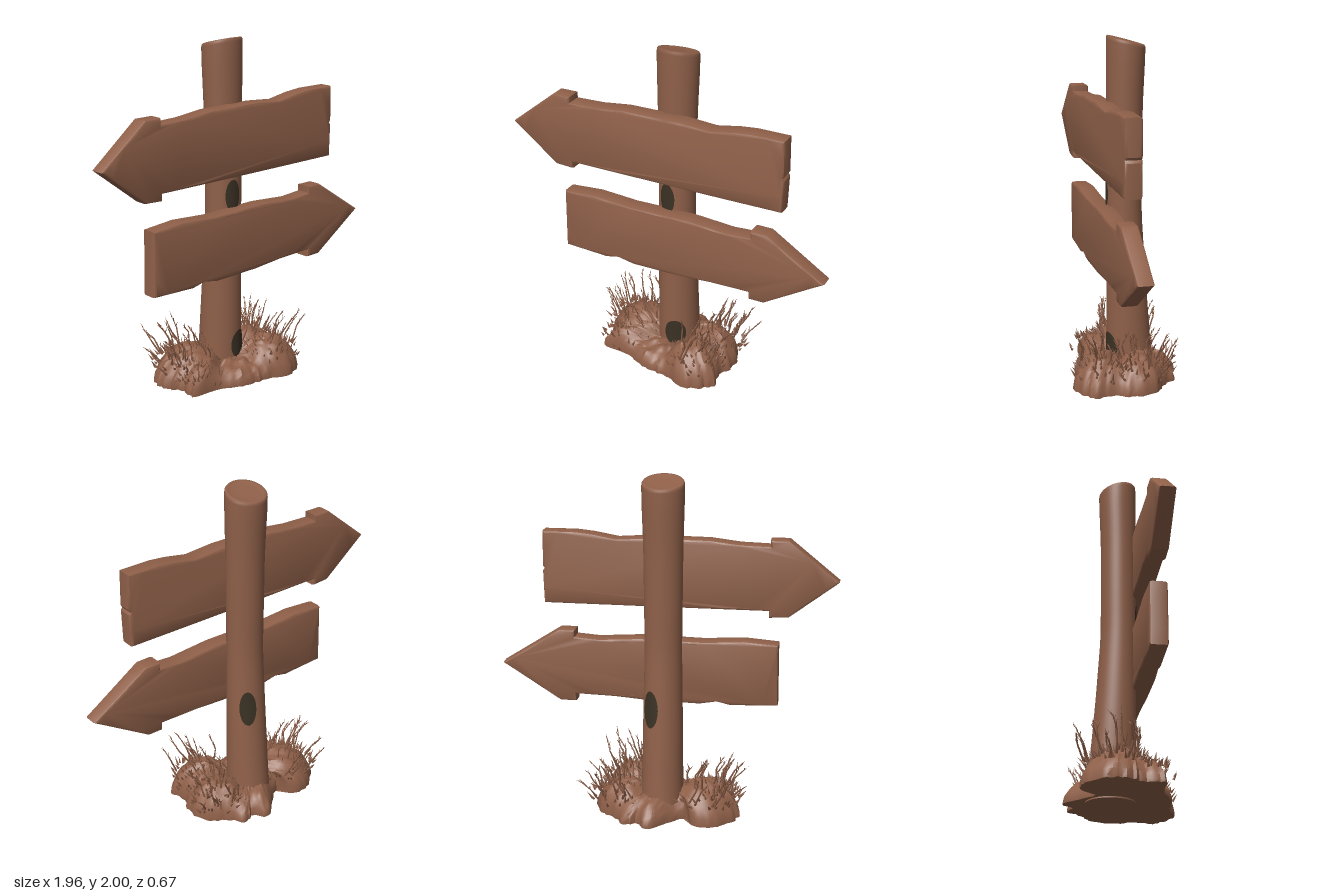
import * as THREE from 'three';
import { mergeGeometries, mergeVertices, toCreasedNormals } from 'three/addons/utils/BufferGeometryUtils.js';

const wood = new THREE.MeshStandardMaterial({ color: 0x8f6049 });
wood.name = 'brownWood';
const dark = new THREE.MeshStandardMaterial({ color: 0x3a3124 });
dark.name = 'darkKnot';

let seed = 7;
const rand = (a = 0, b = 1) => {
  seed = (seed * 16807) % 2147483647;
  return a + (b - a) * seed / 2147483647;
};

// Skin closed rings of points into one surface
function loft(rows) {
  const n = rows[0].length, index = [];
  for (let i = 0; i < rows.length - 1; i++) {
    for (let j = 0; j < n; j++) {
      const k = (j + 1) % n, a = i * n;
      index.push(a + j, a + k, a + n + k, a + j, a + n + k, a + n + j);
    }
  }
  const g = new THREE.BufferGeometry().setFromPoints(rows.flat());
  g.setIndex(index);
  g.computeVertexNormals();
  return g;
}
const ring = (n, f) => Array.from({ length: n }, (_, j) => f(j / n * Math.PI * 2));

function mesh(name, geometry, material = wood) {
  const m = new THREE.Mesh(geometry, material);
  m.name = name;
  return m;
}

// Post: height, half width in x, half depth in z
const sections = [
  [0, 0.13, 0.14], [0.2, 0.122, 0.13], [0.6, 0.115, 0.114], [1, 0.107, 0.101],
  [1.6, 0.112, 0.103], [1.9, 0.12, 0.109], [2, 0.12, 0.11],
];
function postPoint(a, y, scale = 1, lift = 0) {
  let i = 0;
  while (i < sections.length - 2 && y > sections[i + 1][0]) i++;
  const [p, q] = [sections[i], sections[i + 1]];
  const t = (y - p[0]) / (q[0] - p[0]);
  const rx = THREE.MathUtils.lerp(p[1], q[1], t), rz = THREE.MathUtils.lerp(p[2], q[2], t);
  const z = 0.06 - rz + (rz * scale + lift) * Math.cos(a);
  const slant = 0.27 * (0.06 - z) * Math.pow(y / 2, 8);
  return new THREE.Vector3((rx * scale + lift) * Math.sin(a), y - slant, z);
}
function makePost() {
  const rows = [];
  for (let i = 0; i <= 19; i++) rows.push(ring(40, a => postPoint(a, i * 0.104)));
  for (const [y, s] of [[1.992, 0.985], [2, 0.94], [2, 0.82], [1.994, 0.74], [1.994, 0.4], [1.994, 0]]) {
    rows.push(ring(40, a => postPoint(a, y, s)));
  }
  return mesh('post', loft(rows));
}

// Dark knot: an oval patch wrapped on the post
function knot(name, angle, y, w, h) {
  const rows = [1, 0.7, 0.4, 0].map(s => ring(28, t =>
    postPoint(angle + Math.cos(t) * s * w / 0.115, y + Math.sin(t) * s * h, 1, 0.004)));
  return mesh(name, loft(rows), dark);
}

// Arrow board: bevelled plank with worn edges, bowed along its length
function board(name, outline) {
  const pts = [];
  outline.forEach(([x, y], i) => {
    const [x2, y2] = outline[(i + 1) % outline.length];
    const n = Math.max(1, Math.round(Math.hypot(x2 - x, y2 - y) / 0.09));
    for (let k = 0; k < n; k++) {
      pts.push(new THREE.Vector2(x + (x2 - x) * k / n, y + (y2 - y) * k / n));
    }
  });
  const g = new THREE.ExtrudeGeometry(new THREE.Shape(pts), {
    depth: 0.075, bevelEnabled: true, bevelSize: 0.012, bevelThickness: 0.016, bevelOffset: -0.012, bevelSegments: 2,
  });
  const p = g.attributes.position;
  for (let i = 0; i < p.count; i++) {
    const x = p.getX(i);
    const thin = 1 - 0.16 * x * x;
    p.setZ(i, 0.085 + (p.getZ(i) - 0.0375) * thin - 0.014 * x);
  }
  return mesh(name, toCreasedNormals(g, 0.6));
}

// Earth mound: lumps as x, z, radius, height
const lumps = [
  [-0.27, -0.08, 0.23, 0.2], [0.22, 0.14, 0.2, 0.2], [0.25, -0.09, 0.2, 0.19],
  [0.05, -0.18, 0.22, 0.13], [-0.04, 0.12, 0.22, 0.1], [-0.3, 0.09, 0.16, 0.15],
];
function moundHeight(x, z) {
  let h = 0.035;
  for (const [cx, cz, r, top] of lumps) {
    const d = Math.hypot(x - cx, z - cz) / r;
    if (d < 1) h = Math.max(h, top * Math.sqrt(1 - d * d));
  }
  return h + 0.012 * Math.sin(x * 47 + 2) * Math.sin(z * 53);
}
function makeMound() {
  const edge = new THREE.CatmullRomCurve3([
    [0, 0.25], [0.1, 0.26], [0.2, 0.3], [0.3, 0.27], [0.37, 0.2], [0.35, 0.09], [0.39, 0],
    [0.37, -0.15], [0.27, -0.21], [0.2, -0.3], [0.12, -0.28], [0.05, -0.34], [-0.05, -0.25],
    [-0.15, -0.17], [-0.2, -0.25], [-0.32, -0.26], [-0.42, -0.17], [-0.46, -0.05],
    [-0.4, 0.04], [-0.4, 0.15], [-0.25, 0.17], [-0.12, 0.23],
  ].map(([x, z]) => new THREE.Vector3(x, 0, z)), true);
  const N = 110;
  const rim = Array.from({ length: N }, (_, j) => edge.getPoint(j / N).multiplyScalar(rand(0.97, 1.03)));
  const row = (s, flat) => rim.map(v => {
    const x = v.x * s, z = v.z * s;
    const y = flat ? 0.008 : 0.02 + moundHeight(x, z) * Math.sqrt(1 - Math.pow(s, 5)) + rand(-0.006, 0.006);
    return new THREE.Vector3(x, y, z);
  });
  const rows = [row(0, true), row(1, true)];
  for (const s of [1, 0.98, 0.94, 0.88, 0.82, 0.75, 0.68, 0.6, 0.52, 0.44, 0.36, 0.25, 0]) rows.push(row(s, false));
  return mesh('earthMound', toCreasedNormals(loft(rows), 0.9));
}

// Thin spike from a base point along a direction
const up = new THREE.Vector3(0, 1, 0);
function spike(base, dir, length, r0, r1 = 0) {
  const g = new THREE.CylinderGeometry(r1, r0, length, 4, 1, true);
  g.translate(0, length / 2, 0);
  g.applyQuaternion(new THREE.Quaternion().setFromUnitVectors(up, dir));
  return g.translate(base.x, base.y, base.z);
}
const lean = (x, z, k) => new THREE.Vector3(x * k + rand(-0.35, 0.35), 1, z * k + rand(-0.35, 0.35)).normalize();
function spot(lump, spread) {
  const a = rand(0, Math.PI * 2), r = Math.sqrt(rand()) * spread * lump[2];
  const x = lump[0] + r * Math.cos(a), z = lump[1] + r * Math.sin(a);
  return new THREE.Vector3(x, moundHeight(x, z) - 0.01, z);
}

// Tall stems with a bend and small leaflets near the tip
function makeStems() {
  const parts = [];
  for (let i = 0; i < 52; i++) {
    const base = spot(lumps[[0, 1, 2, 0, 2][i % 5]], 0.75);
    const d1 = lean(base.x, base.z, 1.1), d2 = lean(base.x, base.z, 2);
    const l1 = rand(0.05, 0.13), l2 = rand(0.05, 0.13);
    const mid = base.clone().addScaledVector(d1, l1);
    parts.push(spike(base, d1, l1, 0.006, 0.0045), spike(mid, d2, l2, 0.0045));
    for (let k = 0; k < 4; k++) {
      const p = mid.clone().addScaledVector(d2, l2 * (0.1 + k * 0.2));
      const d = d2.clone().add(new THREE.Vector3(rand(-0.8, 0.8), 0.2, rand(-0.8, 0.8))).normalize();
      parts.push(spike(p, d, rand(0.02, 0.045), 0.0045));
    }
  }
  return mesh('grassStems', mergeVertices(mergeGeometries(parts)));
}

// Short stubble covering the lumps
function makeStubble() {
  const parts = [];
  for (let i = 0; i < 330; i++) {
    const lump = lumps[[0, 1, 2, 0, 1, 2, 5][i % 7]];
    const p = spot(lump, 0.85);
    const out = new THREE.Vector3(p.x - lump[0], 0, p.z - lump[1]).multiplyScalar(5);
    parts.push(spike(p, lean(out.x, out.z, 1), rand(0.025, 0.06), 0.008));
  }
  return mesh('grassStubble', mergeGeometries(parts));
}

export function createModel() {
  const model = new THREE.Group();
  model.name = 'signpost';
  model.add(
    makePost(),
    knot('upperKnot', -0.14, 1.1, 0.05, 0.095),
    knot('lowerKnot', 0.3, 0.185, 0.06, 0.088),
    knot('backKnot', 2.6, 0.67, 0.05, 0.11),
    board('upperBoard', [
      [-0.98, 1.41], [-0.7, 1.195], [-0.59, 1.19], [-0.59, 1.23], [0.71, 1.23], [0.715, 1.42],
      [0.705, 1.435], [0.715, 1.45], [0.71, 1.655], [0.52, 1.655], [0.42, 1.645], [0.28, 1.62], [0.1, 1.633],
      [-0.25, 1.63], [-0.42, 1.61], [-0.59, 1.605], [-0.59, 1.64], [-0.695, 1.64],
    ]),
    board('lowerBoard', [
      [0.975, 0.85], [0.63, 1.07], [0.535, 1.07], [0.535, 1.03], [0.4, 1.02], [0.15, 1.037], [-0.22, 1.03],
      [-0.45, 1.045], [-0.65, 1.03], [-0.655, 0.66], [-0.38, 0.65], [-0.3, 0.668], [-0.2, 0.65],
      [0.1, 0.655], [0.3, 0.67], [0.535, 0.675], [0.535, 0.63], [0.63, 0.63],
    ]),
    makeMound(), makeStems(), makeStubble(),
  );
  return model;
}
